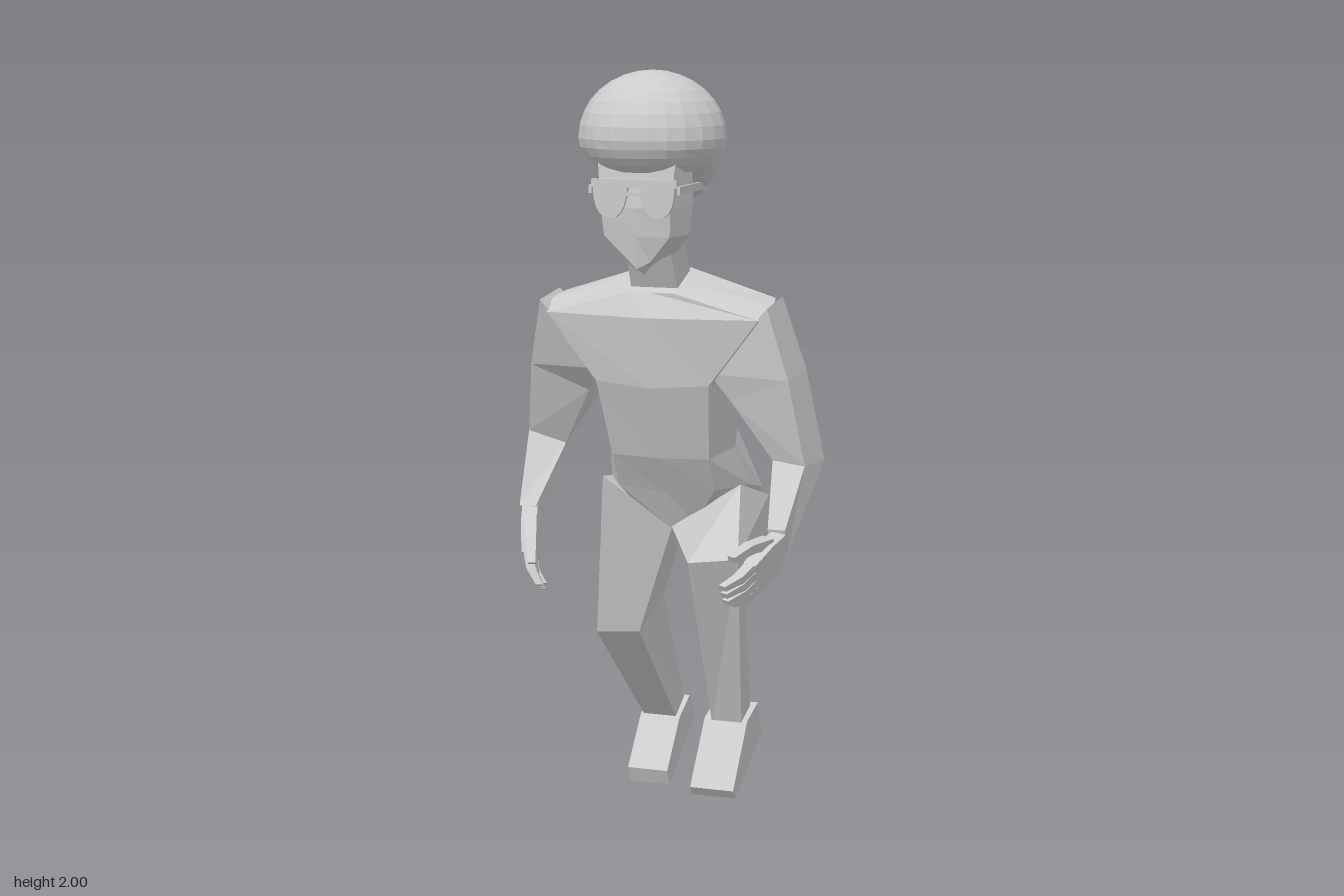
import * as THREE from 'three';

const mat = new THREE.MeshStandardMaterial({ color: 0xcccccc, flatShading: true, side: THREE.DoubleSide });

function add(parent, geometry, name) {
  const mesh = new THREE.Mesh(geometry, mat);
  mesh.name = name;
  parent.add(mesh);
  return mesh;
}

// Skin a closed solid over rings of points, with faceted sides and end caps.
function loft(rings) {
  const tris = [];
  const n = rings[0].length;
  for (let r = 0; r < rings.length - 1; r++) {
    for (let i = 0; i < n; i++) {
      const j = (i + 1) % n;
      const a = rings[r][i], b = rings[r][j], c = rings[r + 1][j], d = rings[r + 1][i];
      tris.push([a, b, c], [a, c, d]);
    }
  }
  const cap = (ring, flip) => {
    const mid = [0, 1, 2].map(k => ring.reduce((s, p) => s + p[k], 0) / n);
    for (let i = 0; i < n; i++) {
      const j = (i + 1) % n;
      tris.push(flip ? [mid, ring[j], ring[i]] : [mid, ring[i], ring[j]]);
    }
  };
  cap(rings[0], true);
  cap(rings[rings.length - 1], false);
  // Signed volume tells whether the faces point outward.
  let volume = 0;
  for (const [a, b, c] of tris) {
    volume += a[0] * (b[1] * c[2] - b[2] * c[1]) + a[1] * (b[2] * c[0] - b[0] * c[2]) + a[2] * (b[0] * c[1] - b[1] * c[0]);
  }
  if (volume < 0) tris.forEach(t => t.reverse());
  const g = new THREE.BufferGeometry();
  g.setAttribute('position', new THREE.Float32BufferAttribute(tris.flat(2), 3));
  g.computeVertexNormals();
  return g;
}

// Complete a half ring, listed front to back on the +x side, by mirroring it.
function mirrored(half) {
  const other = half.filter(p => p[0] > 0).reverse().map(([x, y, z]) => [-x, y, z]);
  return [...half, ...other];
}

// Hand with palm, four curled fingers and a thumb, in a frame along the fingers.
function buildHand(wrist, along, across, curl, name) {
  const hand = new THREE.Group();
  hand.name = name;
  const w = new THREE.Vector3(...wrist);
  const d = new THREE.Vector3(...along).normalize();
  const s = new THREE.Vector3(...across);
  s.addScaledVector(d, -s.dot(d)).normalize();
  const n = new THREE.Vector3().crossVectors(d, s).multiplyScalar(curl);
  const ring = (a, b, c, hb, hc) => [[1, 1], [1, -1], [-1, -1], [-1, 1]].map(([u, v]) =>
    w.clone().addScaledVector(d, a).addScaledVector(s, b + u * hb).addScaledVector(n, c + v * hc).toArray());
  add(hand, loft([ring(-0.02, 0, 0, 0.026, 0.02), ring(0.04, 0, 0, 0.044, 0.021), ring(0.12, 0, 0, 0.05, 0.017)]), 'palm');
  for (let i = 0; i < 4; i++) {
    const b = -0.038 + 0.0253 * i;
    const len = i === 0 ? 0.075 : 0.095;
    add(hand, loft([ring(0.11, b, 0, 0.012, 0.014), ring(0.11 + len * 0.55, b, 0.008, 0.011, 0.012),
      ring(0.11 + len, b, 0.03, 0.008, 0.009)]), 'finger');
  }
  add(hand, loft([ring(0.02, 0.03, 0.005, 0.018, 0.016), ring(0.09, 0.075, 0.012, 0.014, 0.014),
    ring(0.16, 0.1, 0.018, 0.009, 0.01)]), 'thumb');
  return hand;
}

// Foot: a wedge side profile of [z, y] points, given width in x.
function foot(profile, x0, x1) {
  return loft([x0, x1].map(x => profile.map(([z, y]) => [x, y, z])));
}

function buildHead() {
  const head = new THREE.Group();
  head.name = 'head';
  add(head, loft([
    [[0, 1.78, 0.34], [0.1, 1.78, 0.335], [0.115, 1.78, 0.25], [0.07, 1.76, 0.12], [0, 1.76, 0.11]],
    [[0, 1.67, 0.352], [0.09, 1.67, 0.345], [0.115, 1.67, 0.25], [0.075, 1.67, 0.118], [0, 1.67, 0.112]],
    [[0, 1.6, 0.345], [0.085, 1.6, 0.335], [0.108, 1.6, 0.25], [0.07, 1.62, 0.135], [0, 1.62, 0.13]],
    [[0, 1.52, 0.335], [0.03, 1.535, 0.325], [0.065, 1.55, 0.255], [0.05, 1.55, 0.158], [0, 1.55, 0.155]],
    [[0, 1.5, 0.28], [0.02, 1.525, 0.27], [0.05, 1.55, 0.24], [0.04, 1.55, 0.165], [0, 1.55, 0.16]],
  ].map(mirrored)), 'face');

  add(head, loft([
    [[0.058, 1.58, 0.265], [0.058, 1.58, 0.155], [-0.058, 1.58, 0.155], [-0.058, 1.58, 0.265]],
    [[0.062, 1.44, 0.195], [0.062, 1.48, 0.095], [-0.062, 1.48, 0.095], [-0.062, 1.44, 0.195]],
  ]), 'neck');

  // Rounded hair, cut off below and hanging lower at the back.
  const hair = new THREE.SphereGeometry(1, 24, 16);
  const p = hair.attributes.position;
  for (let i = 0; i < p.count; i++) {
    const x = p.getX(i), y = p.getY(i), z = p.getZ(i);
    const bump = 1 + 0.012 * Math.sin(7 * x * x + 5 * y) * Math.cos(6 * z);
    const drop = 0.085 + 0.12 * Math.max(0, -z + 0.1);
    const h = y >= 0 ? y * 0.165 : Math.max(y, -0.76) / 0.76 * drop;
    p.setXYZ(i, x * 0.184 * bump, 1.835 + h, 0.215 + z * 0.184 * bump);
  }
  hair.computeVertexNormals();
  add(head, hair, 'hair');

  // Glasses: two rounded lenses, brow bar, bridge and temples.
  for (const side of [1, -1]) {
    const lens = new THREE.Shape();
    lens.moveTo(side * 0.015, 1.725);
    lens.lineTo(side * 0.105, 1.725);
    lens.quadraticCurveTo(side * 0.105, 1.645, side * 0.06, 1.645);
    lens.quadraticCurveTo(side * 0.022, 1.645, side * 0.015, 1.725);
    const g = new THREE.ExtrudeGeometry(lens, { depth: 0.012, bevelEnabled: false, curveSegments: 5 });
    add(head, g, 'lens').position.z = 0.347;
    add(head, new THREE.BoxGeometry(0.008, 0.02, 0.2), 'temple').position.set(side * 0.114, 1.715, 0.255);
  }
  add(head, new THREE.BoxGeometry(0.22, 0.02, 0.014), 'browBar').position.set(0, 1.73, 0.35);
  add(head, new THREE.BoxGeometry(0.04, 0.01, 0.012), 'bridge').position.set(0, 1.705, 0.352);
  return head;
}

export function createModel() {
  const model = new THREE.Group();
  model.name = 'runningFigure';
  model.add(buildHead());

  // Torso leaning forward, from collar to crotch.
  add(model, loft([
    [[0, 1.45, 0.235], [0.06, 1.45, 0.235], [0.07, 1.475, 0.16], [0.06, 1.5, 0.09], [0, 1.5, 0.085]],
    [[0, 1.39, 0.272], [0.28, 1.39, 0.23], [0.3, 1.415, 0.16], [0.28, 1.43, 0.08], [0, 1.43, 0.045]],
    [[0, 1.21, 0.25], [0.15, 1.22, 0.225], [0.19, 1.23, 0.12], [0.16, 1.25, 0.02], [0, 1.27, 0]],
    [[0, 1.02, 0.18], [0.13, 1.02, 0.16], [0.17, 1.04, 0.06], [0.14, 1.07, -0.05], [0, 1.09, -0.07]],
    [[0, 0.92, 0.12], [0.13, 0.93, 0.11], [0.19, 0.93, 0], [0.19, 0.9, -0.12], [0, 0.905, -0.152]],
    [[0, 0.815, 0.07], [0.06, 0.83, 0.06], [0.12, 0.84, 0], [0.14, 0.845, -0.08], [0, 0.82, -0.08]],
  ].map(mirrored)), 'torso');

  // Arms: shoulder, elbow and wrist sections.
  add(model, loft([
    [[0.3, 1.42, 0.225], [0.3, 1.435, 0.085], [0.15, 1.27, 0.06], [0.15, 1.25, 0.22]],
    [[0.352, 1.24, 0.21], [0.355, 1.25, 0.055], [0.2, 1.18, 0.05], [0.2, 1.18, 0.2]],
    [[0.385, 1.02, 0.17], [0.405, 1.02, 0.055], [0.31, 1.02, 0.05], [0.3, 1.03, 0.165]],
    [[0.37, 0.88, 0.29], [0.37, 0.81, 0.27], [0.325, 0.81, 0.27], [0.325, 0.88, 0.29]],
  ]), 'leftArm');
  add(model, loft([
    [[-0.3, 1.42, 0.225], [-0.3, 1.435, 0.085], [-0.15, 1.27, 0.05], [-0.15, 1.25, 0.22]],
    [[-0.36, 1.24, 0.14], [-0.36, 1.25, 0.015], [-0.21, 1.17, 0], [-0.2, 1.18, 0.14]],
    [[-0.4, 1.05, 0.06], [-0.405, 1.04, -0.04], [-0.32, 1.03, -0.058], [-0.3, 1.02, 0.05]],
    [[-0.385, 0.87, 0.17], [-0.385, 0.85, 0.11], [-0.34, 0.85, 0.11], [-0.34, 0.87, 0.17]],
  ]), 'rightArm');
  model.add(buildHand([0.348, 0.84, 0.29], [-0.06, -0.12, 0.18], [0, 0.83, 0.55], 1, 'leftHand'));
  model.add(buildHand([-0.362, 0.85, 0.145], [0.03, -0.2, 0.09], [0.2, 0.45, 0.85], -1, 'rightHand'));

  // Raised left leg and trailing right leg: hip, knee and ankle sections.
  add(model, loft([
    [[0.19, 0.945, 0.08], [0, 0.82, 0.07], [0.02, 0.81, -0.05], [0.205, 0.88, -0.125]],
    [[0.265, 0.81, 0.345], [0.145, 0.8, 0.375], [0.15, 0.715, 0.235], [0.25, 0.745, 0.24]],
    [[0.22, 0.33, 0.16], [0.14, 0.33, 0.16], [0.14, 0.36, 0.085], [0.22, 0.36, 0.085]],
  ]), 'leftLeg');
  add(model, loft([
    [[-0.175, 0.95, 0.11], [0, 0.815, 0.07], [-0.01, 0.82, -0.1], [-0.19, 0.91, -0.14]],
    [[-0.235, 0.5, 0], [-0.115, 0.51, 0], [-0.11, 0.57, -0.185], [-0.215, 0.57, -0.185]],
    [[-0.23, 0.17, -0.365], [-0.135, 0.17, -0.365], [-0.135, 0.21, -0.44], [-0.23, 0.21, -0.44]],
  ]), 'rightLeg');
  add(model, foot([[0.16, 0.34], [0.065, 0.365], [0.03, 0.275], [0.26, 0.165], [0.28, 0.19]], 0.12, 0.235), 'leftFoot');
  add(model, foot([[-0.36, 0.17], [-0.45, 0.21], [-0.5, 0.14], [-0.27, 0], [-0.25, 0.045]], -0.238, -0.122), 'rightFoot');

  return model;
}
